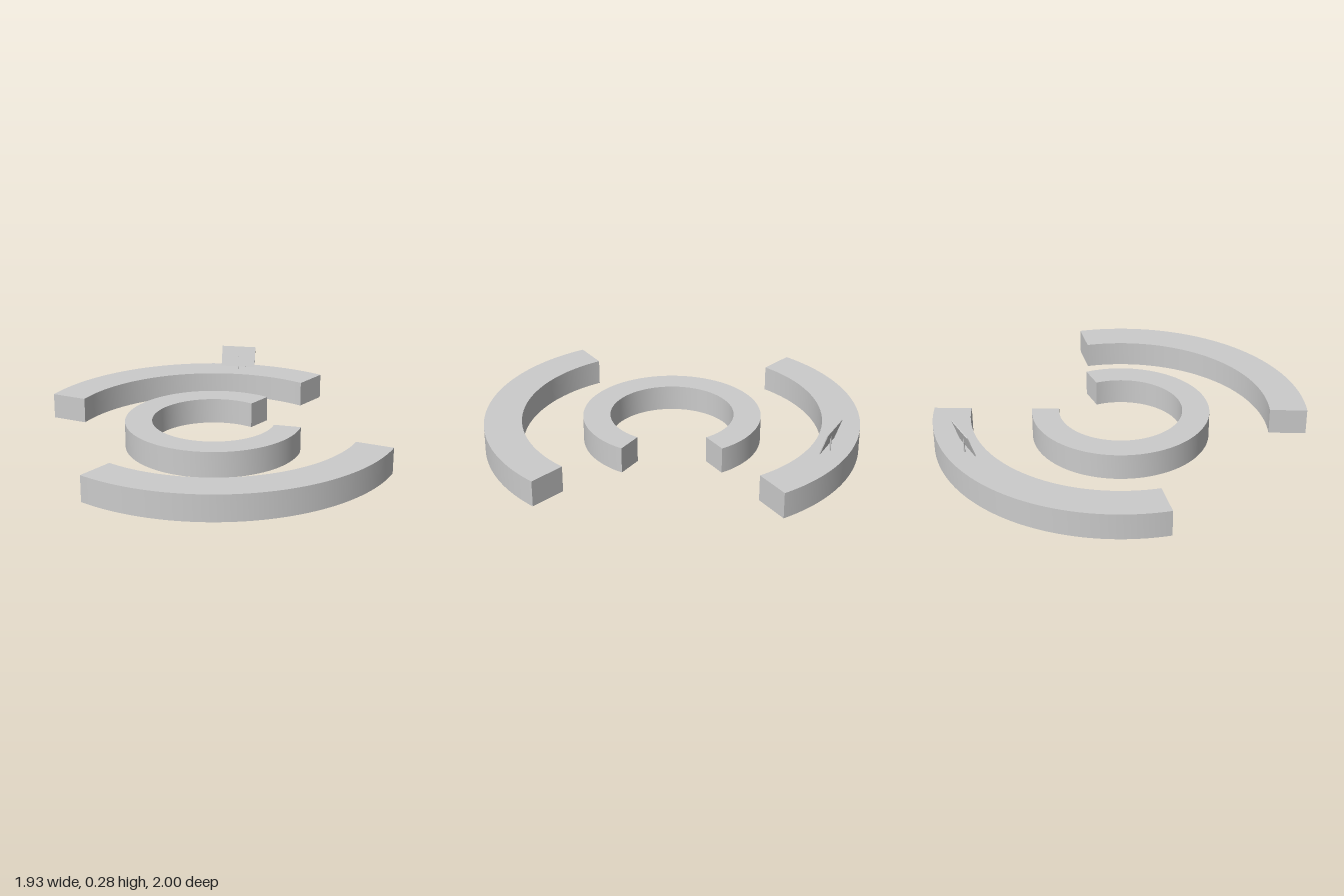
import * as THREE from 'three';
import { toCreasedNormals } from 'three/addons/utils/BufferGeometryUtils.js';

const HEIGHT = 0.14;

// Curved block between two radii; angles in degrees, counter-clockwise seen from above
function arcBlock(name, inner, outer, from, to, material) {
  const a = THREE.MathUtils.degToRad(from);
  const b = THREE.MathUtils.degToRad(to);
  const shape = new THREE.Shape();
  shape.absarc(0, 0, outer, a, b, false);
  shape.absarc(0, 0, inner, b, a, true);
  shape.closePath();
  const geometry = new THREE.ExtrudeGeometry(shape, { depth: HEIGHT, bevelEnabled: false, curveSegments: 64 });
  geometry.rotateX(-Math.PI / 2);
  const mesh = new THREE.Mesh(toCreasedNormals(geometry, 0.5), material);
  mesh.name = name;
  return mesh;
}

export function createModel() {
  const material = new THREE.MeshStandardMaterial({ color: 0xcccccc });
  const model = new THREE.Group();
  model.name = 'arcBenches';

  // Two outer arcs and the open inner ring
  model.add(
    arcBlock('backArc', 0.8, 1, 60, 165, material),
    arcBlock('frontArc', 0.8, 1, 240, 345, material),
    arcBlock('innerRing', 0.33, 0.475, 60, 355, material)
  );

  // Small tilted sign on a thin post, standing on the back arc
  const sign = new THREE.Group();
  sign.name = 'sign';
  sign.position.set(0, HEIGHT, -0.902);
  const post = new THREE.Mesh(new THREE.CylinderGeometry(0.004, 0.004, 0.08, 12), material);
  post.name = 'signPost';
  post.position.y = 0.04;
  const panel = new THREE.Mesh(new THREE.BoxGeometry(0.2, 0.12, 0.005), material);
  panel.name = 'signPanel';
  panel.position.y = 0.078;
  panel.rotation.x = -0.32;
  sign.add(post, panel);
  model.add(sign);

  return model;
}
